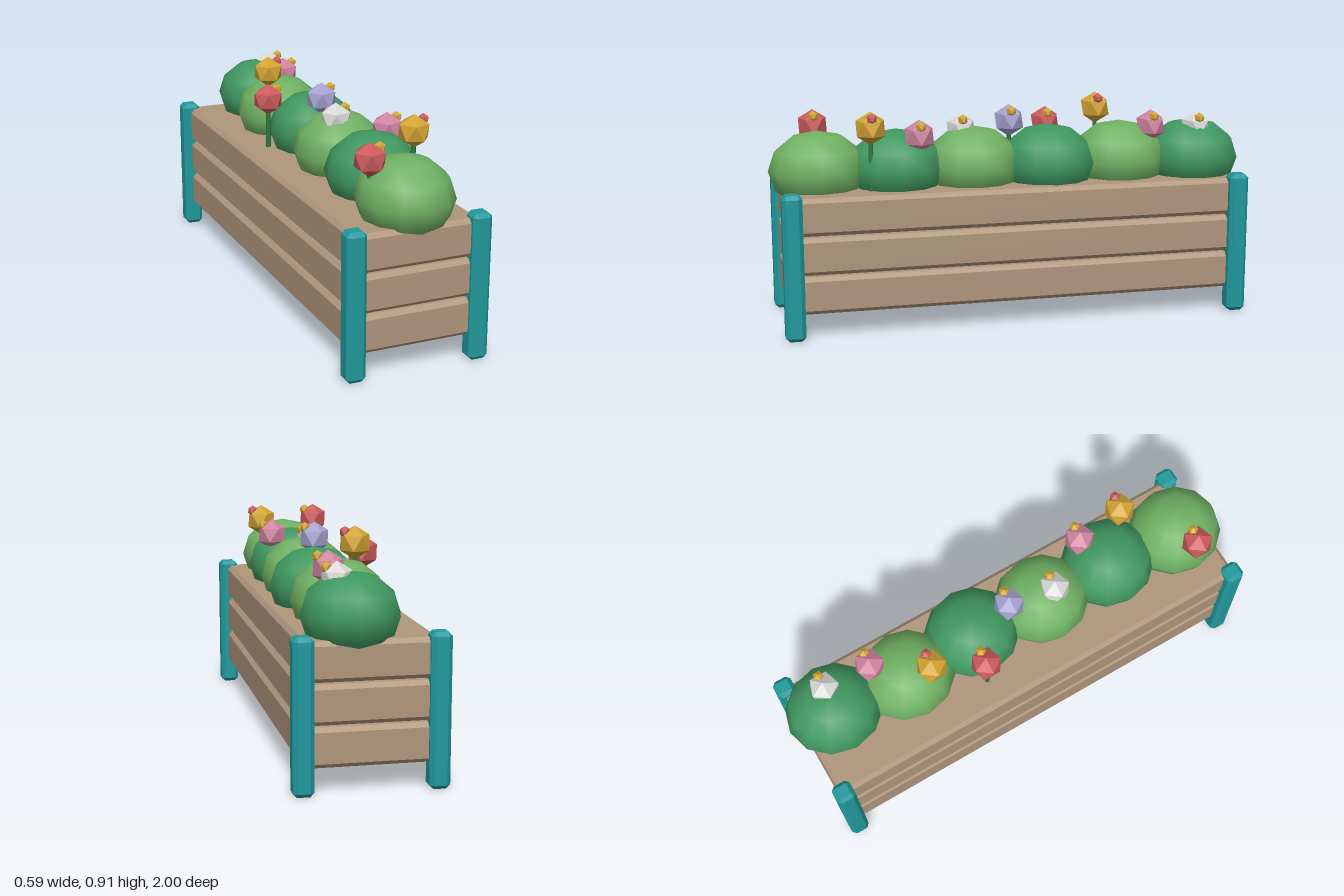
import * as THREE from 'three';
import { ConvexGeometry } from 'three/addons/geometries/ConvexGeometry.js';

const mat = (name, color, flatShading = false) => {
  const m = new THREE.MeshStandardMaterial({ color, flatShading });
  m.name = name;
  return m;
};

// Box centred on the origin with every edge and corner chamfered by b
function chamferBox(w, h, d, b) {
  const pts = [];
  for (const sx of [-1, 1]) for (const sy of [-1, 1]) for (const sz of [-1, 1]) {
    for (let full = 0; full < 3; full++) {
      const half = [w / 2, h / 2, d / 2].map((v, i) => (i === full ? v : v - b));
      pts.push(new THREE.Vector3(sx * half[0], sy * half[1], sz * half[2]));
    }
  }
  return new ConvexGeometry(pts);
}

export function createModel() {
  const root = new THREE.Group();
  root.name = 'flowerPlanter';

  const wood = mat('wood', 0xb0967c);
  const teal = mat('tealPaint', 0x21999d);
  const lightLeaf = mat('lightLeaf', 0x70b163);
  const darkLeaf = mat('darkLeaf', 0x409860);
  const stemGreen = mat('stemGreen', 0x2f7d42);
  const red = mat('red', 0xcc5a5c, true);
  const yellow = mat('yellow', 0xd2a433, true);
  const pink = mat('pink', 0xd084a0, true);
  const lavender = mat('lavender', 0xa6a2cf, true);
  const white = mat('white', 0xd8d8d6, true);

  const add = (parent, name, geo, material, x, y, z) => {
    const m = new THREE.Mesh(geo, material);
    m.name = name;
    m.position.set(x, y, z);
    parent.add(m);
    return m;
  };

  // Three stacked board layers with narrow gaps between them
  const layer = chamferBox(0.52, 0.152, 1.89, 0.017);
  for (let i = 0; i < 3; i++) add(root, 'boardLayer', layer, wood, 0, 0.175 + i * 0.1585, 0);

  // Corner posts
  const post = chamferBox(0.08, 0.59, 0.08, 0.016);
  for (const sx of [-1, 1]) for (const sz of [-1, 1]) {
    add(root, 'cornerPost', post, teal, sx * 0.255, 0.295, sz * 0.931);
  }

  // Row of squashed bushes, alternating in colour from front to back
  const bush = new THREE.SphereGeometry(1, 12, 6).scale(0.19, 0.16, 0.2);
  [0.01, 0.03, 0.03, 0.05, 0.025, 0.05].forEach((x, i) => {
    add(root, 'bush', bush, i % 2 ? darkLeaf : lightLeaf, x, 0.64, 0.8 - i * 0.32);
  });

  // Flowers: faceted head standing on a corner, small bud on top, thin stem
  const bloom = new THREE.IcosahedronGeometry(0.067, 0).rotateZ(Math.atan(2 / (1 + Math.sqrt(5))));
  const bud = bloom.clone().scale(0.34, 0.34, 0.34);
  const flowers = [
    [-0.135, 0.8, 0.8, red, yellow],
    [0.145, 0.822, 0.6, yellow, red],
    [0.13, 0.78, 0.4, pink, yellow],
    [-0.003, 0.782, 0.2, white, yellow],
    [0.02, 0.815, 0, lavender, yellow],
    [-0.14, 0.778, -0.2, red, yellow],
    [-0.06, 0.845, -0.4, yellow, red],
    [0.09, 0.782, -0.6, pink, yellow],
    [0.1, 0.77, -0.8, white, yellow],
  ];
  for (const [x, y, z, petal, centre] of flowers) {
    const flower = new THREE.Group();
    flower.name = 'flower';
    flower.position.set(x, y, z);
    const length = y - 0.56;
    add(flower, 'stem', new THREE.CylinderGeometry(0.009, 0.011, length, 6), stemGreen, 0, -length / 2, 0);
    add(flower, 'bloom', bloom, petal, 0, 0, 0);
    add(flower, 'bud', bud, centre, 0.04, 0.043, 0);
    root.add(flower);
  }

  return root;
}
